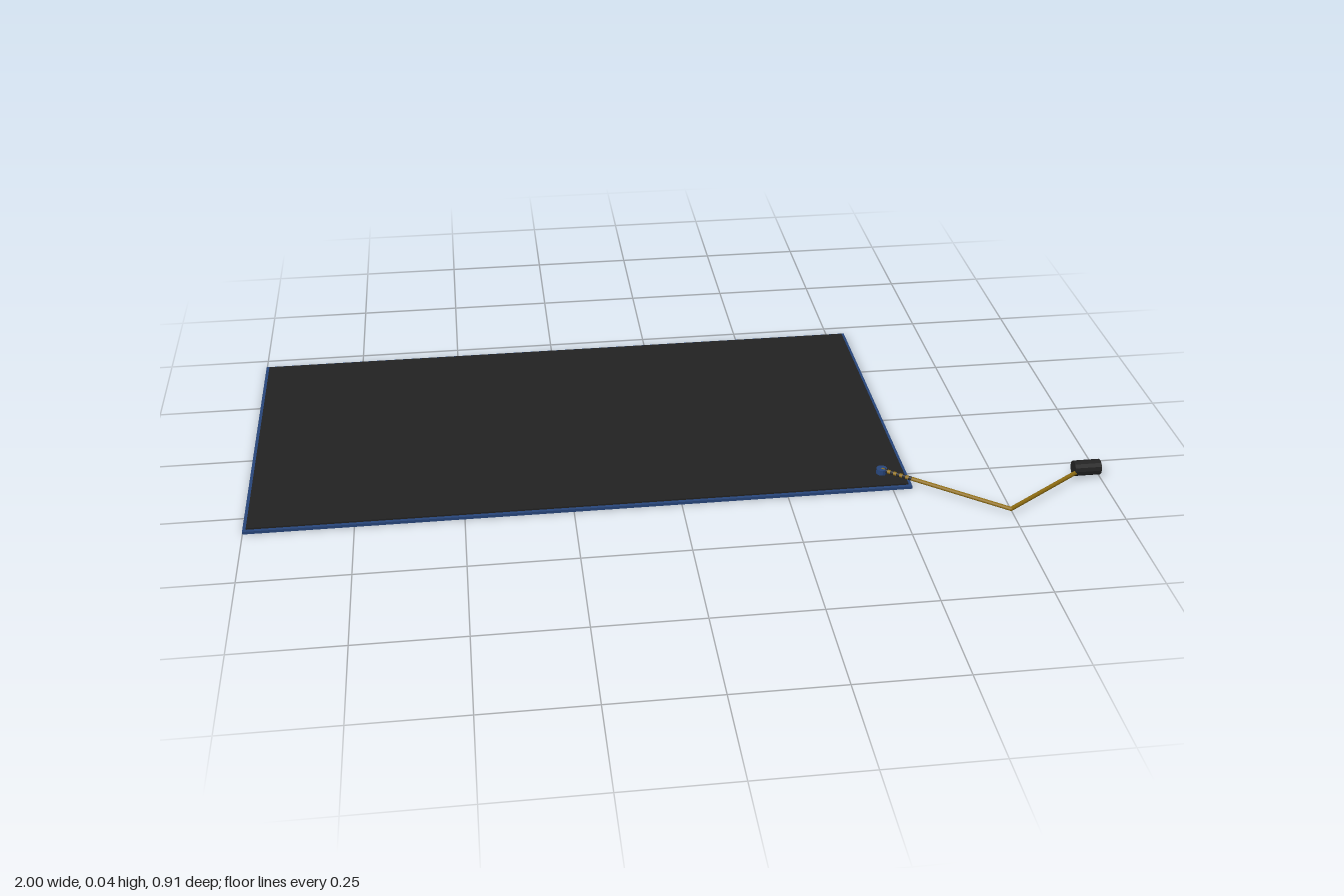
import * as THREE from 'three';

export function createModel() {
  const model = new THREE.Group();
  const mat = (name, color, flatShading = false) => {
    const m = new THREE.MeshStandardMaterial({ color, flatShading });
    m.name = name;
    return m;
  };
  const black = mat('black', 0x222222, true);
  const navy = mat('navy', 0x27457a, true);
  const gold = mat('gold', 0x8f6d12);

  const add = (name, geometry, material, x, y, z) => {
    const mesh = new THREE.Mesh(geometry, material);
    mesh.name = name;
    mesh.position.set(x, y, z);
    model.add(mesh);
    return mesh;
  };
  // Round rod between two points
  const up = new THREE.Vector3(0, 1, 0);
  const rod = (name, a, b, radius, material) => {
    const d = b.clone().sub(a);
    const mid = a.clone().add(b).multiplyScalar(0.5);
    const mesh = add(name, new THREE.CylinderGeometry(radius, radius, d.length(), 10), material, mid.x, mid.y, mid.z);
    mesh.quaternion.setFromUnitVectors(up, d.normalize());
  };

  // Flat mat: navy base with a black surface inset inside its rim
  add('base', new THREE.BoxGeometry(1.546, 0.007, 0.77), navy, -0.227, 0.0035, -0.07);
  add('surface', new THREE.BoxGeometry(1.53, 0.004, 0.754), black, -0.227, 0.009, -0.07);

  // Socket near the front left corner
  add('socket', new THREE.CylinderGeometry(0.013, 0.013, 0.014, 12), navy, 0.485, 0.017, 0.255);

  // Bent cable
  const start = new THREE.Vector3(0.485, 0.02, 0.255);
  const bend = new THREE.Vector3(0.743, 0.015, 0.448);
  const end = new THREE.Vector3(0.955, 0.018, 0.31);
  const exit = start.clone().lerp(bend, 0.24);
  rod('innerCable', exit, bend, 0.005, gold);
  rod('outerCable', bend, end, 0.005, gold);
  add('cableBend', new THREE.SphereGeometry(0.005, 10, 8), gold, bend.x, bend.y, bend.z);

  // Banded sleeve where the cable leaves the socket
  const bands = 10;
  for (let i = 0; i < bands; i++) {
    rod('sleeveBand', start.clone().lerp(exit, i / bands), start.clone().lerp(exit, (i + 1) / bands),
      0.005, i % 2 ? black : gold);
  }

  // Plug at the free end
  add('plug', new THREE.CylinderGeometry(0.0185, 0.0185, 0.064, 12), black, 0.968, 0.022, 0.308)
    .rotation.z = Math.PI / 2;

  return model;
}
